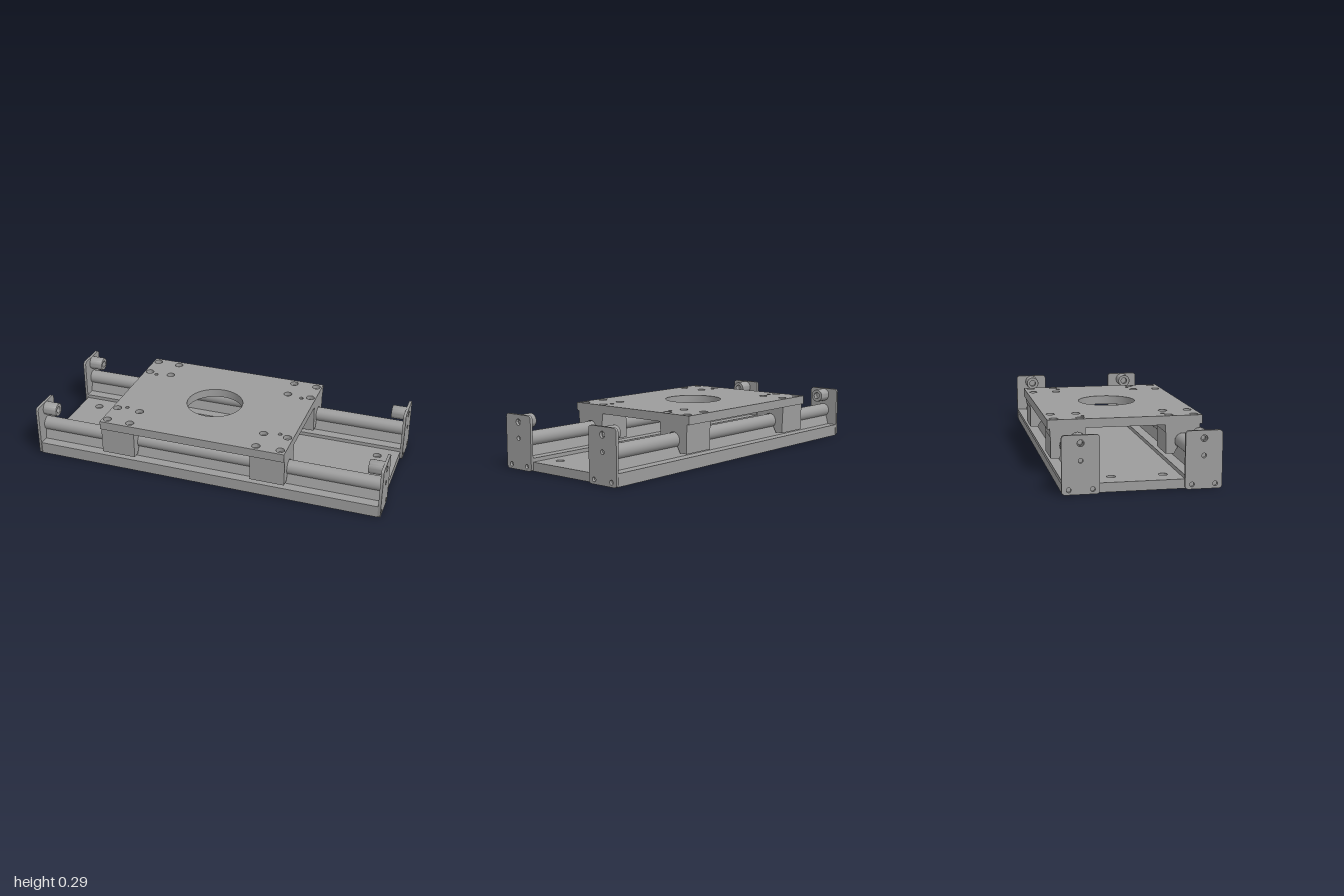
import * as THREE from 'three';
import { toCreasedNormals } from 'three/addons/utils/BufferGeometryUtils.js';

const metal = new THREE.MeshStandardMaterial({ color: 0x9c9c9c });
metal.name = 'machined grey metal';

const RAIL_Z = 0.306;
const SHAFT_Y = 0.157;

function add(parent, name, geometry, x = 0, y = 0, z = 0) {
  const mesh = new THREE.Mesh(geometry, metal);
  mesh.name = name;
  mesh.position.set(x, y, z);
  parent.add(mesh);
  return mesh;
}

// holes: list of [x, y, radius]
function punch(shape, holes) {
  for (const [x, y, r] of holes) {
    const hole = new THREE.Path();
    hole.absarc(x, y, r, 0, Math.PI * 2, true);
    shape.holes.push(hole);
  }
  return shape;
}

function rect(x0, x1, y0, y1) {
  return polygon([[x0, y0], [x1, y0], [x1, y1], [x0, y1]]);
}

function polygon(points) {
  return new THREE.Shape(points.map(([x, y]) => new THREE.Vector2(x, y)));
}

function extrude(shape, depth) {
  return new THREE.ExtrudeGeometry(shape, { depth, bevelEnabled: false, curveSegments: 24 });
}

// Horizontal plate: outline lies in x/z, thickness goes up
const slab = (shape, depth) => toCreasedNormals(extrude(shape, depth).rotateX(-Math.PI / 2), 0.6);
// Cross-section in z/y, length runs along x
const alongX = (shape, depth) => toCreasedNormals(extrude(shape, depth).rotateY(Math.PI / 2), 0.6);

// Every combination of the given x and z positions, as holes of one radius
const grid = (xs, zs, r) => xs.flatMap(x => zs.map(z => [x, z, r]));

// Plate in two layers so that the screw holes are counterbored from above
function counterboredPlate(name, outline, y0, y1, step, xs, zs, others) {
  const group = new THREE.Group();
  group.name = name;
  const lower = punch(rect(...outline), [...grid(xs, zs, 0.013), ...others]);
  const upper = punch(rect(...outline), [...grid(xs, zs, 0.023), ...others]);
  add(group, name + 'Lower', slab(lower, step - y0), 0, y0);
  add(group, name + 'Upper', slab(upper, y1 - step), 0, step);
  return group;
}

function endPlateGeometry() {
  const w = 0.094, top = 0.293, r = 0.018;
  const s = new THREE.Shape();
  s.moveTo(-w + r, 0);
  s.lineTo(w - r, 0);
  s.absarc(w - r, r, r, -Math.PI / 2, 0);
  s.absarc(w - r, top - r, r, 0, Math.PI / 2);
  s.absarc(-w + r, top - r, r, Math.PI / 2, Math.PI);
  s.absarc(-w + r, r, r, Math.PI, Math.PI * 1.5);
  punch(s, [[0, 0.253, 0.017], [0, 0.167, 0.012], [-0.059, 0.024, 0.012], [0.059, 0.024, 0.012]]);
  return alongX(s, 0.015);
}

// Round stop with a blind bore at both ends, axis turned to x
function bumperGeometry() {
  const p = [[0, 0.015], [0.012, 0.015], [0.012, 0], [0.038, 0], [0.038, 0.076],
    [0.036, 0.079], [0.019, 0.079], [0.019, 0.05], [0, 0.05]];
  const lathe = new THREE.LatheGeometry(p.map(([x, y]) => new THREE.Vector2(x, y)), 32);
  return toCreasedNormals(lathe.rotateZ(Math.PI / 2), 0.6);
}

// Open bearing housing that wraps the shaft from above
function bearingGeometry(length) {
  const s = new THREE.Shape();
  const a = -0.28 * Math.PI;
  s.moveTo(0.045, 0.09);
  s.lineTo(0.09, 0.09);
  s.lineTo(0.09, 0.205);
  s.lineTo(-0.09, 0.205);
  s.lineTo(-0.09, 0.09);
  s.lineTo(-0.045, 0.09);
  s.absarc(0, SHAFT_Y, 0.042, Math.PI - a, a, true);
  s.closePath();
  return alongX(s, length);
}

export function createModel() {
  const model = new THREE.Group();
  model.name = 'linearSlide';

  // Base with four counterbored mounting holes
  model.add(counterboredPlate('base', [-0.985, 0.985, -0.395, 0.395], 0.002, 0.05, 0.03,
    [-0.87, 0.87], [-0.132, 0.132], []));

  // Carriage table with a large central opening
  const dowels = grid([-0.515, 0.39], [-0.215, 0.215], 0.011);
  model.add(counterboredPlate('carriage', [-0.595, 0.47, -0.413, 0.413], 0.245, 0.293, 0.27,
    [-0.565, -0.43, 0.303, 0.438], [-0.374, -0.237, 0.237, 0.374],
    [[-0.063, 0, 0.16], ...dowels]));

  // Rail foot with a tapered web under the shaft
  const support = alongX(polygon([[-0.092, 0.05], [0.092, 0.05], [0.092, 0.07], [0.036, 0.07],
    [0.02, 0.126], [-0.02, 0.126], [-0.036, 0.07], [-0.092, 0.07]]), 1.97);
  const shaft = new THREE.CylinderGeometry(0.039, 0.039, 1.97, 40).rotateZ(Math.PI / 2);
  const endPlate = endPlateGeometry();
  const bumper = bumperGeometry();
  const bearing = bearingGeometry(0.195);
  const spacer = new THREE.BoxGeometry(0.195, 0.04, 0.186);

  for (const side of [1, -1]) {
    const rail = new THREE.Group();
    rail.name = side > 0 ? 'frontRail' : 'backRail';
    rail.position.z = side * RAIL_Z;
    model.add(rail);

    add(rail, 'railSupport', support, -0.985);
    add(rail, 'shaft', shaft, 0, SHAFT_Y);

    // End plates and their bumpers, facing inwards
    for (const end of [1, -1]) {
      add(rail, 'endPlate', endPlate, end > 0 ? 0.985 : -1);
      const stop = add(rail, 'bumper', bumper, end * 0.985, 0.253);
      if (end < 0) stop.rotation.y = Math.PI;
    }

    // Two bearings per rail with spacers up to the carriage
    for (const x of [-0.595, 0.275]) {
      add(rail, 'bearingBlock', bearing, x);
      add(rail, 'bearingSpacer', spacer, x + 0.0975, 0.225);
    }
  }
  return model;
}
